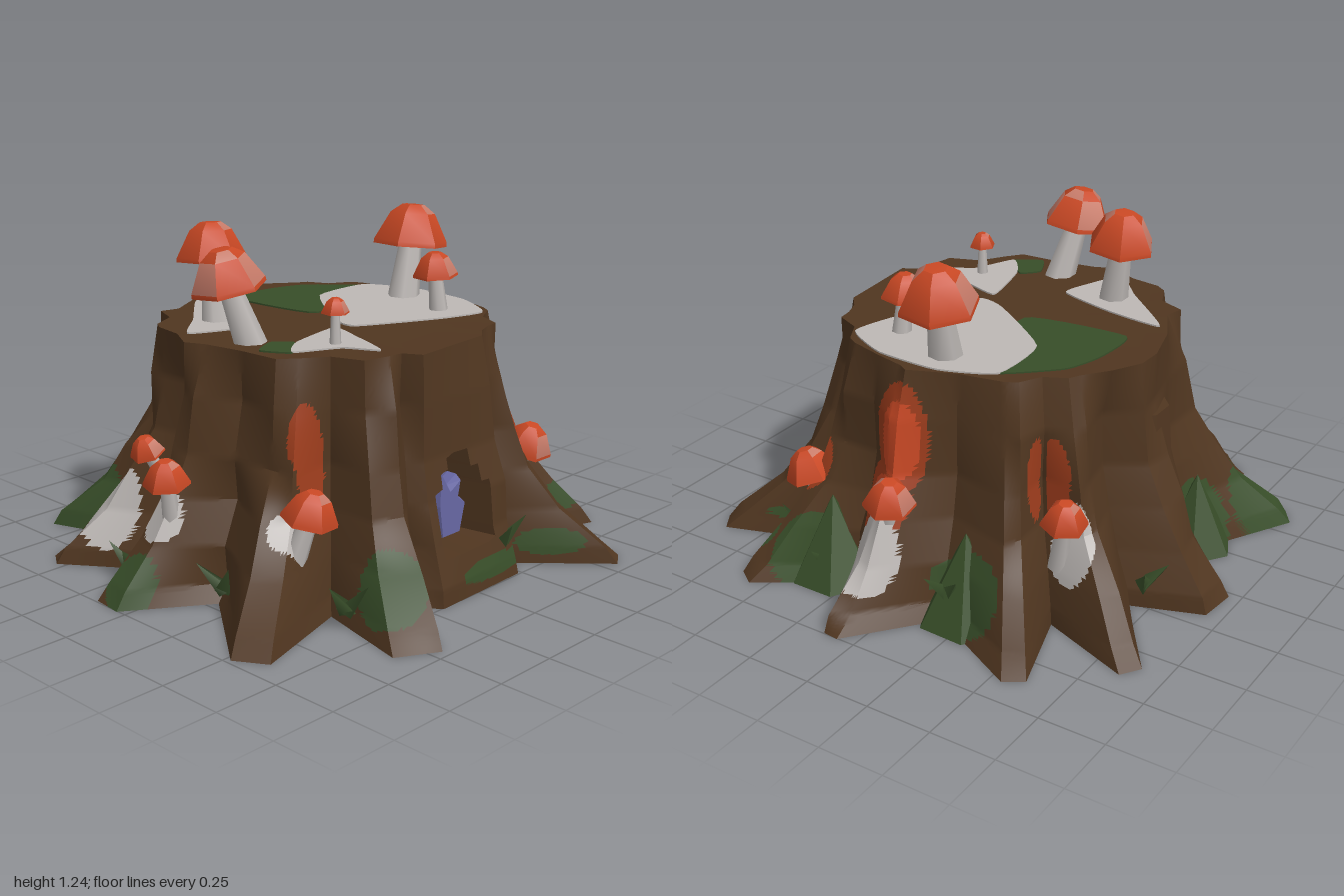
import * as THREE from 'three';
import { toCreasedNormals } from 'three/addons/utils/BufferGeometryUtils.js';

const mat = (name, color, side = THREE.FrontSide) => {
  const m = new THREE.MeshStandardMaterial({ color, side });
  m.name = name;
  return m;
};
const bark = mat('bark', 0x503620), moss = mat('moss', 0x384e29, THREE.DoubleSide);
const pale = mat('pale fungus', 0xbdb8b5), stain = mat('rust stain', 0x9c3c1c);
const red = mat('cap red', 0xc94824), spot = mat('cap spot', 0xc87c6a);
const violet = mat('violet crystal', 0x6868a4);

let seed = 7;
const rand = () => (seed = (seed * 16807) % 2147483647) / 2147483647;
const lerp = THREE.MathUtils.lerp;

// Root tips: x, z, half width as an angle
const roots = [
  [1, 0.1, 0.03], [0.87, 0.6, 0.04], [0.6, 0.93, 0.04], [0.02, 0.78, 0.28], [-0.53, 0.93, 0.08],
  [-0.95, 0.58, 0.06], [-1, -0.1, 0.06], [-0.87, -0.57, 0.04], [-0.62, -0.9, 0.04],
  [0.1, -0.95, 0.08], [0.62, -0.88, 0.04], [0.88, -0.58, 0.04],
];
// Rows: height, root flare, valley radius
const rows = [[0, 1, 0.73], [0.06, 0.87, 0.7], [0.2, 0.56, 0.66], [0.35, 0.3, 0.62],
  [0.5, 0.13, 0.59], [0.7, 0.04, 0.575], [0.88, 0, 0.575]];

// Growth on the bark as ovals: centre x y z, radius, half height (later layers lie on top)
const layers = [bark, moss, stain, red, pale];
const mossOvals = [
  [-0.62, 0.12, -0.82, 0.24, 0.24], [-0.22, 0.1, -0.72, 0.14, 0.2], [-0.48, 0.16, 0.76, 0.13, 0.15],
  [-0.93, 0.08, -0.06, 0.1, 0.12], [0.8, 0.13, 0.36, 0.17, 0.17], [0.78, 0.17, -0.26, 0.17, 0.17],
  [0.1, 0.07, 0.76, 0.18, 0.04], [0.7, 0.15, 0.66, 0.13, 0.11], [0.42, 0.08, 0.74, 0.14, 0.05],
];
const stainOvals = [[0.64, 0.62, 0.06, 0.12, 0.22], [0.7, 0.4, 0.12, 0.14, 0.15],
  [0.47, 0.54, -0.46, 0.075, 0.22], [0.6, 0.42, 0.5, 0.11, 0.13], [-0.5, 0.52, 0.38, 0.075, 0.21]];
const redOvals = [[0.64, 0.62, 0.05, 0.08, 0.15], [0.71, 0.4, 0.12, 0.1, 0.1], [0.5, 0.47, -0.48, 0.06, 0.09]];
const paleOvals = [[0.8, 0.24, 0.1, 0.13, 0.19], [0.5, 0.33, -0.55, 0.1, 0.17],
  [-0.63, 0.3, 0.42, 0.08, 0.08], [-0.74, 0.24, -0.42, 0.13, 0.19], [-0.77, 0.28, -0.06, 0.08, 0.12]];
const layerOvals = [[], mossOvals, stainOvals, redOvals, paleOvals];
const layerAt = (p) => layerOvals.reduce((found, ovals, i) => (ovals.some(([x, y, z, r, h]) =>
  ((p.x - x) / r) ** 2 + ((p.y - y) / h) ** 2 + ((p.z - z) / r) ** 2 < 1) ? i : found), 0);

function mesh(name, geometry, material) {
  const m = new THREE.Mesh(geometry, material);
  m.name = name;
  return m;
}

function stump() {
  // Coarse control columns: two along each root crest, one in each valley
  const polar = roots.map(([x, z, d]) => [(Math.atan2(z, x) + Math.PI * 2) % (Math.PI * 2), Math.hypot(x, z), d]);
  const columns = [];
  polar.forEach(([a, tip, d], k) => {
    const n = polar[(k + 1) % polar.length];
    const next = k + 1 === polar.length ? n[0] + Math.PI * 2 : n[0];
    columns.push([a - d, tip, d], [a + d, tip, d], [(a + d + next - n[2]) / 2, 0, 0]);
  });
  const grid = rows.map(([y, flare, valley], j) => columns.map(([a, tip, d]) => {
    const bump = j === 0 ? 0 : (rand() - 0.5) * 0.06;
    const ridge = 0.6 + 0.15 * d + 0.045 * (1 - y / 0.88);
    const r = (tip ? ridge + (tip - 0.645 - 0.15 * d) * flare : valley) + bump;
    return new THREE.Vector3(r * Math.cos(a), y, r * Math.sin(a));
  }));
  // Subdivide, and press the hollow into the front
  const N = 10, M = 12, C = columns.length * N, R = (rows.length - 1) * M, pts = [];
  for (let j = 0; j <= R; j++) for (let i = 0; i < C; i++) {
    const r0 = Math.min(Math.floor(j / M), rows.length - 2), c0 = Math.floor(i / N), c1 = (c0 + 1) % columns.length;
    const u = (i % N) / N, v = j / M - r0;
    const p = grid[r0][c0].clone().lerp(grid[r0][c1], u).lerp(grid[r0 + 1][c0].clone().lerp(grid[r0 + 1][c1], u), v);
    const width = 0.13 * Math.min(1, (0.52 - p.y) / 0.2);
    if (p.z > 0 && p.y > 0.16 && Math.abs(p.x) < width) p.z = lerp(p.z, 0.4, 1 - 0.4 * Math.abs(p.x) / 0.13);
    pts.push(p);
  }
  const faces = layers.map(() => []);
  const tri = (a, b, c) => faces[layerAt(pts[a].clone().add(pts[b]).add(pts[c]).divideScalar(3))].push(a, b, c);
  const base = pts.push(new THREE.Vector3(0, 0, 0)) - 1, top = pts.push(new THREE.Vector3(0, 0.875, 0)) - 1;
  for (let i = 0; i < C; i++) {
    const n = (i + 1) % C;
    for (let j = 0; j < R; j++) {
      const a = j * C + i, b = j * C + n;
      tri(a, a + C, b);
      tri(b, a + C, b + C);
    }
    faces[0].push(top, R * C + n, R * C + i, base, i, n);
  }
  const g = new THREE.BufferGeometry().setFromPoints(pts);
  g.setIndex(faces.flat());
  let start = 0;
  faces.forEach((f, i) => { g.addGroup(start, f.length, i); start += f.length; });
  return mesh('stump', toCreasedNormals(g, 0.4), layers);
}

// Flat growth on the cut top: outline as x, z pairs, corners rounded by a closed curve
function topPatch(name, outline, y, material) {
  const curve = new THREE.CatmullRomCurve3(outline.map(([x, z]) => new THREE.Vector3(x, -z, 0)), true, 'catmullrom', 0.25);
  const shape = new THREE.Shape(curve.getPoints(40).slice(0, 40).map((p) => new THREE.Vector2(p.x, p.y)));
  const g = new THREE.ExtrudeGeometry(shape, { depth: 0.006, bevelEnabled: false });
  g.rotateX(-Math.PI / 2).translate(0, y, 0);
  return mesh(name, g, material);
}

// Mushroom from a foot point to a cap rim centre, with cap radius r
function mushroom(foot, rim, r, index) {
  const group = new THREE.Group();
  group.name = 'mushroom';
  const up = new THREE.Vector3(0, 1, 0);
  const a = new THREE.Vector3(...foot), b = new THREE.Vector3(...rim), dir = b.clone().sub(a);
  const stem = mesh('stem', new THREE.CylinderGeometry(r * 0.3, r * 0.45, dir.length() + 0.02, 7), pale);
  stem.position.copy(a).add(b).multiplyScalar(0.5);
  stem.quaternion.setFromUnitVectors(up, dir.normalize());
  const profile = [[0, 0.25], [1, -0.08], [0.99, 0.04], [0.6, 0.78], [0.3, 1.0], [0, 1.02]];
  const cap = new THREE.LatheGeometry(profile.map(([x, y]) => new THREE.Vector2(x * r, y * r)), 6, index);
  // Pale facets: most of the way round the first cap, a few on the others
  for (let i = 0; i < 6; i++) for (let j = 0; j < 5; j++) {
    const isPale = j === 2 + (i % 2) && (index === 0 || (i + index) % 3 === 0);
    cap.addGroup((i * 5 + j) * 6, 6, isPale ? 1 : 0);
  }
  const capMesh = mesh('cap', toCreasedNormals(cap, 0.5), [red, spot]);
  capMesh.position.copy(b);
  capMesh.quaternion.setFromUnitVectors(up, dir.lerp(up, 0.4).normalize());
  group.add(stem, capMesh);
  return group;
}

// Two leaves spread around a point at the foot of the stump
function tuft(x, z, k) {
  const group = new THREE.Group();
  group.name = 'leafTuft';
  const out = new THREE.Vector3(x, 0, z).normalize();
  for (const i of [-1, 1]) {
    const leaf = mesh('leaf', new THREE.ConeGeometry(0.035, 0.13 + 0.03 * (k % 2), 3), moss);
    leaf.position.set(x - out.z * i * 0.03, 0.1 + 0.03 * (k % 3), z + out.x * i * 0.03);
    leaf.quaternion.setFromUnitVectors(new THREE.Vector3(0, 1, 0),
      new THREE.Vector3(out.x * 0.7 - out.z * i * 0.6, 1, out.z * 0.7 + out.x * i * 0.6).normalize());
    group.add(leaf);
  }
  return group;
}

export function createModel() {
  const model = new THREE.Group();
  model.name = 'mushroomStump';
  model.add(stump());

  // Bark knot on the back
  const knot = mesh('barkKnot', toCreasedNormals(new THREE.CylinderGeometry(0.11, 0.14, 0.3, 7), 0.4), bark);
  knot.position.set(0, 0.51, -0.57);
  knot.scale.z = 0.75;
  model.add(knot);

  // Growth on the cut top
  model.add(
    topPatch('topMoss', [[-0.05, -0.46], [0.15, -0.47], [0.3, -0.42], [0.46, -0.24], [0.4, -0.1], [0, -0.07]], 0.879, moss),
    topPatch('topFungusRight', [[0.2, -0.24], [0.46, -0.25], [0.55, -0.05], [0.54, 0.2], [0.44, 0.38], [0.25, 0.33], [-0.05, 0.18], [-0.03, 0.06]], 0.882, pale),
    topPatch('topFungusBack', [[-0.19, -0.52], [-0.21, -0.3], [-0.28, -0.07], [-0.4, -0.1], [-0.54, -0.17], [-0.4, -0.3]], 0.882, pale),
    topPatch('topFungusFront', [[-0.12, 0.15], [-0.16, 0.3], [-0.23, 0.48], [-0.3, 0.36], [-0.46, 0.28], [-0.36, 0.2]], 0.882, pale),
    topPatch('topMossSmall', [[-0.36, 0.19], [-0.46, 0.28], [-0.52, 0.18], [-0.42, 0.13]], 0.88, moss),
  );

  // Mushrooms: foot, cap rim centre, cap radius
  [
    [[-0.45, 0.87, 0.06], [-0.51, 1.08, 0.02], 0.135],
    [[-0.34, 0.87, -0.24], [-0.32, 1.11, -0.28], 0.13],
    [[-0.28, 0.87, 0.31], [-0.28, 1.0, 0.31], 0.05],
    [[0.43, 0.87, -0.01], [0.48, 1.09, -0.02], 0.145],
    [[0.35, 0.87, 0.24], [0.34, 1.02, 0.23], 0.085],
    [[-0.74, 0.22, -0.04], [-0.78, 0.42, -0.02], 0.085],
    [[-0.62, 0.35, -0.23], [-0.69, 0.46, -0.23], 0.065],
    [[-0.62, 0.23, 0.45], [-0.59, 0.37, 0.49], 0.1],
    [[0.47, 0.22, -0.5], [0.5, 0.41, -0.54], 0.085],
    [[0.7, 0.26, 0.06], [0.73, 0.42, 0.03], 0.095],
    [[0.58, 0.24, 0.44], [0.59, 0.34, 0.49], 0.1],
  ].forEach(([foot, rim, r], i) => model.add(mushroom(foot, rim, r, i)));

  // Crystal inside the front hollow
  const outline = [[-0.08, 0.45], [-0.02, 0.37], [0.04, 0.4], [0.03, 0.33], [0.07, 0.3], [0.04, 0.18], [-0.07, 0.18], [-0.09, 0.31]];
  const crystal = new THREE.ExtrudeGeometry(new THREE.Shape(outline.map((p) => new THREE.Vector2(...p))),
    { depth: 0.04, bevelSize: 0.012, bevelThickness: 0.03, bevelOffset: -0.012, bevelSegments: 1 });
  model.add(mesh('crystal', crystal.translate(0, 0, 0.56), violet));

  // Moss clumps heaped between the roots: x, z, radius, height
  [[0.66, 0.34, 0.17, 0.33], [0.64, -0.23, 0.18, 0.34], [-0.24, -0.68, 0.15, 0.3]].forEach(([x, z, r, h], k) => {
    const clump = mesh('mossClump', toCreasedNormals(new THREE.ConeGeometry(r, h, 6, 1, true, k), 0.4), moss);
    clump.position.set(x, h / 2, z);
    model.add(clump);
  });

  // Leaf tufts between the roots
  [[-0.82, -0.22], [-0.76, 0.22], [0.74, -0.2], [0.73, 0.38], [0.25, -0.75], [0.2, 0.72],
    [0.59, 0.6], [-0.58, 0.66]].forEach(([x, z], k) => model.add(tuft(x, z, k)));
  return model;
}
